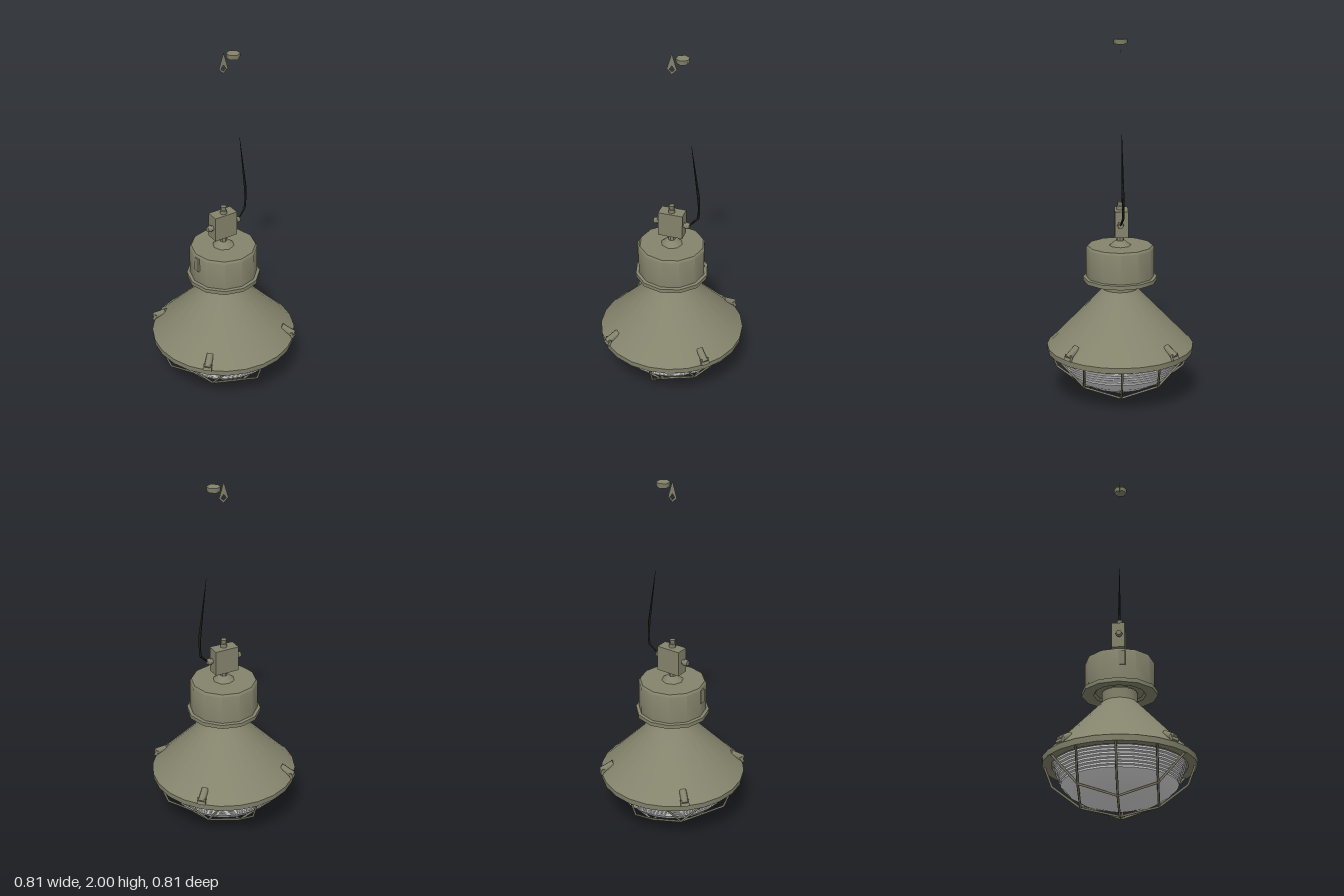
import * as THREE from 'three';
import { toCreasedNormals } from 'three/addons/utils/BufferGeometryUtils.js';

export function createModel() {
  const model = new THREE.Group();
  const material = (name, color) => {
    const m = new THREE.MeshStandardMaterial({ color, side: THREE.DoubleSide });
    m.name = name;
    return m;
  };
  const paint = material('olive paint', 0x84836c);
  const glass = material('pale glass', 0xd8d8d8);
  const rubber = material('black rubber', 0x1e1e1b);

  const add = (name, geometry, mat = paint, parent = model) => {
    const mesh = new THREE.Mesh(geometry, mat);
    mesh.name = name;
    parent.add(mesh);
    return mesh;
  };
  // Turned part from [radius, height] pairs, bottom to top
  const turned = (name, profile, sides, crease = 0.6, mat = paint) => {
    const g = new THREE.LatheGeometry(profile.map(([r, y]) => new THREE.Vector2(r, y)), sides);
    return add(name, toCreasedNormals(g, crease), mat);
  };
  // Straight rod between two points
  const rod = (name, a, b, ra, rb = ra, sides = 6, parent = model, mat = paint) => {
    const from = new THREE.Vector3(...a), to = new THREE.Vector3(...b);
    const dir = to.clone().sub(from);
    const mesh = add(name, new THREE.CylinderGeometry(rb, ra, dir.length(), sides), mat, parent);
    mesh.position.copy(from).addScaledVector(dir, 0.5);
    mesh.quaternion.setFromUnitVectors(new THREE.Vector3(0, 1, 0), dir.normalize());
    return mesh;
  };

  // Conical shade with rim, and the neck above it
  turned('shade', [[0.355, 0.272], [0.403, 0.272], [0.405, 0.303], [0.395, 0.308], [0.095, 0.622]], 24);
  turned('neck', [[0.095, 0.615], [0.095, 0.68]], 16);

  // Ballast housing with flange
  turned('flange', [[0.09, 0.685], [0.13, 0.685], [0.14, 0.672], [0.203, 0.668], [0.203, 0.69], [0.18, 0.694]], 12);
  turned('housing', [[0.186, 0.69], [0.186, 0.853], [0.177, 0.865], [0, 0.865]], 12, 0.7);
  add('housingLatch', new THREE.BoxGeometry(0.012, 0.08, 0.035)).position.set(-0.182, 0.81, 0.02);

  // Boss and stem carrying the junction box
  turned('boss', [[0.062, 0.863], [0.03, 0.89], [0.02, 0.892], [0.02, 0.925]], 8);
  add('junctionBox', new THREE.BoxGeometry(0.138, 0.142, 0.072)).position.set(0, 0.994, -0.006);
  for (const s of [-1, 1]) {
    rod('glandCollar', [s * 0.066, 0.994, 0], [s * 0.082, 0.994, 0], 0.014, 0.014, 8);
    rod('glandNut', [s * 0.08, 0.994, 0], [s * 0.102, 0.994, 0], 0.019, 0.015, 6);
  }
  rod('topCollar', [0, 1.06, 0], [0, 1.085, 0], 0.019, 0.019, 8);
  rod('topEye', [0, 1.08, 0], [0, 1.108, 0], 0.012, 0.016, 6);

  // Tapering loose cable
  const cable = [[0.1, 0.998, 0, 0.004], [0.145, 1.045, -0.012, 0.007],
    [0.15, 1.1, -0.012, 0.006], [0.146, 1.18, -0.01, 0.008], [0.105, 1.49, -0.006, 0.001]];
  for (let i = 0; i < cable.length - 1; i++) {
    const a = cable[i], b = cable[i + 1];
    rod('cable', a.slice(0, 3), b.slice(0, 3), a[3], b[3], 4, model, rubber);
  }

  // Ceiling hook: flat open loop with a pointed top
  const hook = new THREE.Shape([[0, 2], [0.027, 1.912], [0, 1.885], [-0.027, 1.912]]
    .map(p => new THREE.Vector2(...p)));
  hook.holes.push(new THREE.Path([[0, 1.932], [-0.014, 1.912], [0, 1.9], [0.014, 1.912]]
    .map(p => new THREE.Vector2(...p))));
  add('ceilingHook', new THREE.ShapeGeometry(hook));

  // Small ceiling block beside the hook
  const block = add('ceilingBlock', new THREE.CylinderGeometry(0.037, 0.035, 0.025, 6));
  block.position.set(0.058, 1.971, 0);

  // Glass bowl with ribbed upper band
  const bowl = [[0, 0.05], [0.1, 0.06], [0.2, 0.09], [0.26, 0.125], [0.3, 0.165]];
  for (let i = 0; i < 7; i++) {
    const r = 0.3 + 0.007 * i, y = 0.17 + 0.0155 * i;
    bowl.push([r + 0.005, y], [r + 0.006, y + 0.009], [r + 0.002, y + 0.011]);
  }
  turned('glassBowl', bowl, 24, 0.5, glass);

  // Wire guard: three arched wires each way
  const guard = new THREE.Group();
  guard.name = 'wireGuard';
  model.add(guard);
  const middle = [[-0.39, 0.275], [-0.35, 0.17], [-0.2, 0.055], [0, 0.008], [0.2, 0.055], [0.35, 0.17], [0.39, 0.275]];
  const side = [[-0.335, 0.275], [-0.2, 0.12], [0, 0.055], [0.2, 0.12], [0.335, 0.275]];
  for (const offset of [-0.2, 0, 0.2]) {
    const arc = offset ? side : middle;
    for (let i = 0; i < arc.length - 1; i++) {
      const [u, y] = arc[i], [v, w] = arc[i + 1];
      rod('guardWire', [offset, y, u], [offset, w, v], 0.006, 0.006, 6, guard);
      rod('guardWire', [u, y, offset], [v, w, offset], 0.006, 0.006, 6, guard);
    }
  }

  // Four clamps lying on the shade above the rim
  for (let i = 0; i < 4; i++) {
    const clamp = new THREE.Group();
    clamp.name = 'clamp';
    clamp.rotation.y = Math.PI / 4 + i * Math.PI / 2;
    model.add(clamp);
    rod('clampBarrel', [0.335, 0.36, 0], [0.405, 0.32, 0], 0.02, 0.02, 8, clamp);
    const plate = add('clampPlate', new THREE.BoxGeometry(0.016, 0.034, 0.046), paint, clamp);
    plate.position.set(0.4, 0.32, 0);
    plate.rotation.z = 0.4;
  }
  return model;
}
